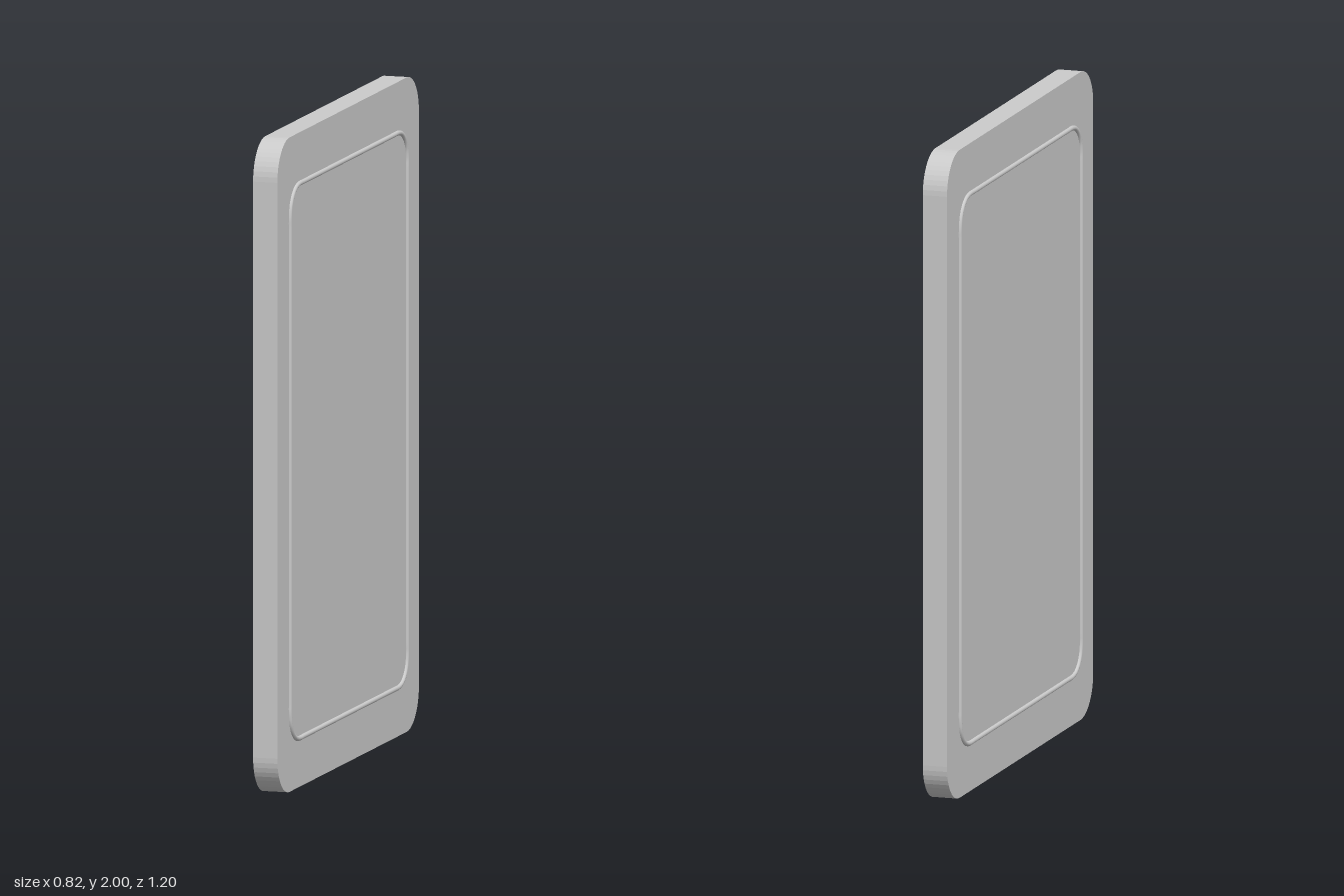
import * as THREE from 'three';

const WIDTH = 1.384, HEIGHT = 2, THICKNESS = 0.077;
const material = new THREE.MeshStandardMaterial({ color: 0xcccccc });

// Rounded rectangle centred on the origin
function roundedRect(w, h, r) {
  const x = w / 2, y = h / 2;
  const s = new THREE.Shape();
  s.moveTo(-x + r, -y);
  s.lineTo(x - r, -y);
  s.absarc(x - r, -y + r, r, -Math.PI / 2, 0);
  s.lineTo(x, y - r);
  s.absarc(x - r, y - r, r, 0, Math.PI / 2);
  s.lineTo(-x + r, y);
  s.absarc(-x + r, y - r, r, Math.PI / 2, Math.PI);
  s.lineTo(-x, -y + r);
  s.absarc(-x + r, -y + r, r, Math.PI, Math.PI * 1.5);
  return s;
}

export function createModel() {
  const model = new THREE.Group();
  model.name = 'panel';

  // Flat slab with rounded corners
  const slabGeometry = new THREE.ExtrudeGeometry(roundedRect(WIDTH, HEIGHT, 0.12), {
    depth: THICKNESS, bevelEnabled: false, curveSegments: 6,
  });
  slabGeometry.translate(0, 0, -THICKNESS / 2);
  const slab = new THREE.Mesh(slabGeometry, material);
  slab.name = 'slab';
  model.add(slab);

  // Thin raised bead framing each face, half sunk into the slab
  const outline = roundedRect(1.146, 1.695, 0.09).getSpacedPoints(160).slice(0, -1);
  const path = new THREE.CatmullRomCurve3(outline.map((p) => new THREE.Vector3(p.x, p.y, 0)), true);
  const beadGeometry = new THREE.TubeGeometry(path, 320, 0.008, 10, true);
  for (const side of [1, -1]) {
    const bead = new THREE.Mesh(beadGeometry, material);
    bead.name = side > 0 ? 'frontBead' : 'backBead';
    bead.position.set(0, -0.003, side * THICKNESS / 2);
    model.add(bead);
  }

  // Upright on the ground, turned about the vertical axis
  model.position.y = HEIGHT / 2;
  model.rotation.y = Math.atan2(1.16, 0.755);
  return model;
}
